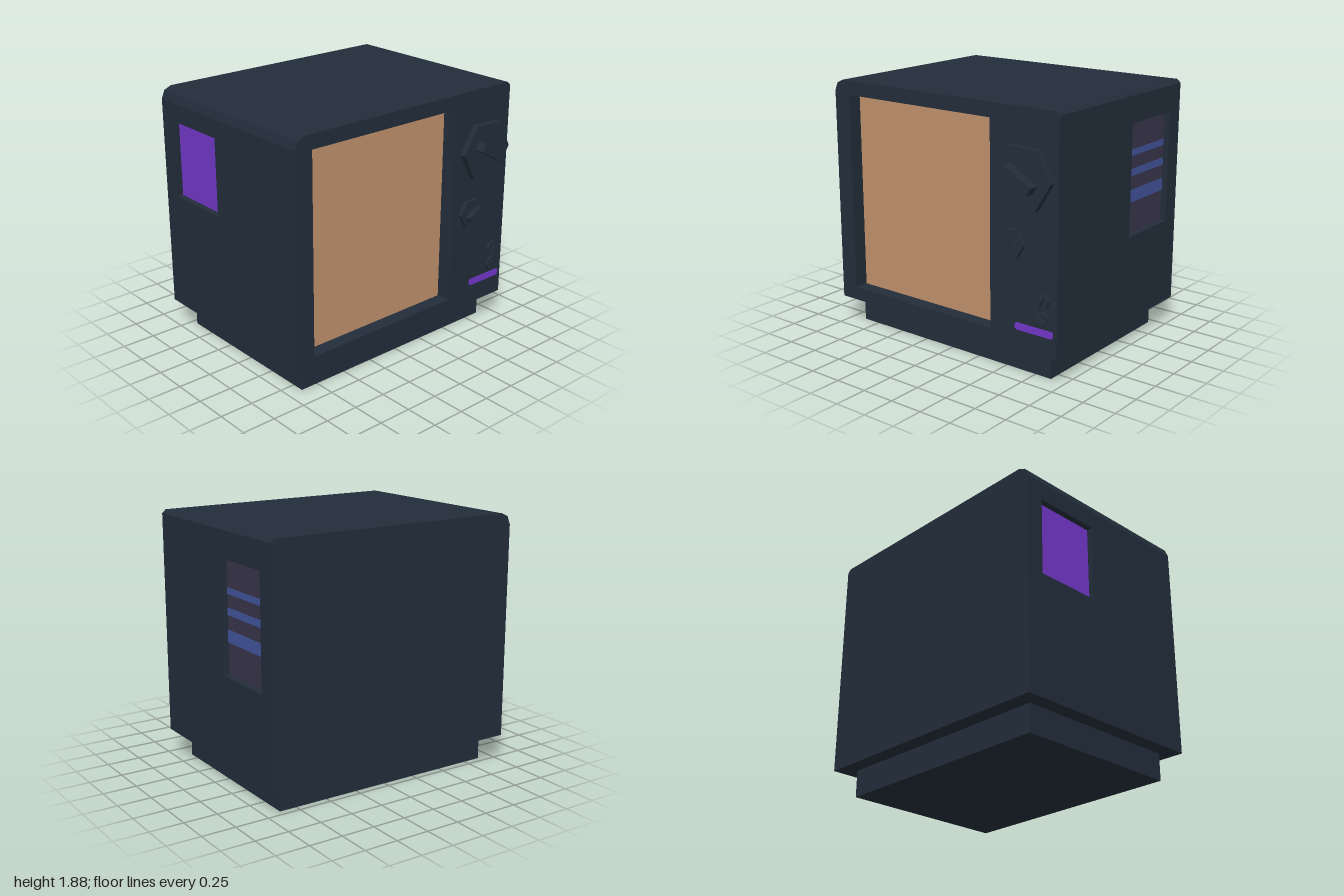
import * as THREE from 'three';

export function createModel() {
  const root = new THREE.Group();
  const mat = (name, color) => {
    const m = new THREE.MeshStandardMaterial({ color });
    m.name = name;
    return m;
  };
  const casing = mat('dark slate', 0x222d3a);
  const glass = mat('warm tan', 0xc0916c);
  const purple = mat('purple', 0x7236c8);
  const plum = mat('dusky plum', 0x37344b);
  const blue = mat('stripe blue', 0x40539a);

  const add = (name, geo, material, parent = root) => {
    const m = new THREE.Mesh(geo, material);
    m.name = name;
    parent.add(m);
    return m;
  };
  const poly = (pts) => new THREE.Shape(pts.map((p) => new THREE.Vector2(...p)));
  const rect = (x0, x1, y0, y1) => [[x0, y0], [x1, y0], [x1, y1], [x0, y1]];
  const extrude = (shape, z0, z1) =>
    new THREE.ExtrudeGeometry(shape, { depth: z1 - z0, bevelEnabled: false, curveSegments: 6 }).translate(0, 0, z0);
  const box = (x0, x1, y0, y1, z0, z1) =>
    new THREE.BoxGeometry(x1 - x0, y1 - y0, z1 - z0).translate((x0 + x1) / 2, (y0 + y1) / 2, (z0 + z1) / 2);

  const BACK = -0.82, INNER = 0.59, FRONT = 0.7, WALL = 0.95;

  // Plinth
  add('base', box(-0.885, 0.88, 0, 0.2, -0.7, 0.59), casing);

  // Cabinet core, narrower below the chamfered top so the side walls can hold recesses
  const crown = [[1, 1.8], [1, 1.86], [0.97, 1.885], [-0.92, 1.885], [-0.975, 1.86], [-1, 1.8]];
  add('cabinetCore', extrude(poly([[-WALL, 0.2], [WALL, 0.2], [WALL, 1.8], ...crown, [-WALL, 1.8]]), BACK, INNER), casing);

  // Front frame with the screen opening
  const frame = poly([[-1, 0.2], [1, 0.2], ...crown]);
  frame.holes.push(poly(rect(-0.86, 0.44, 0.3, 1.78)));
  add('frontFrame', extrude(frame, INNER, FRONT), casing);

  // Sloping lips along the top and right of the opening
  const topLip = extrude(poly([[-INNER, 1.755], [-INNER, 1.78], [-FRONT, 1.78]]), -0.86, 0.44).rotateY(Math.PI / 2);
  add('screenTopLip', topLip, casing);
  const sideLip = extrude(poly([[0.432, -INNER], [0.44, -INNER], [0.44, -FRONT]]), 0.3, 1.78).rotateX(-Math.PI / 2);
  add('screenSideLip', sideLip, casing);
  add('screen', box(-0.86, 0.435, 0.3, 1.76, INNER, INNER + 0.004), glass);

  // Side walls, each with a rectangular recess
  const sideWall = (name, x0, y0, y1) => {
    const s = poly(rect(-INNER, -BACK, 0.2, 1.8));
    s.holes.push(poly(rect(0.175, 0.685, y0, y1)));
    add(name, extrude(s, x0, x0 + 1 - WALL).rotateY(Math.PI / 2), casing);
  };
  sideWall('leftWall', WALL, 0.845, 1.665);
  sideWall('rightWall', -1, 1.09, 1.665);
  add('stripedPanel', box(WALL, WALL + 0.004, 0.845, 1.665, -0.685, -0.175), plum);
  for (const [y0, y1] of [[1.415, 1.46], [1.268, 1.32], [1.075, 1.165]])
    add('panelStripe', box(WALL, WALL + 0.008, y0, y1, -0.685, -0.175), blue);
  add('purplePanel', box(-WALL - 0.004, -WALL, 1.09, 1.665, -0.685, -0.175), purple);

  // Faceted dials with a raised grip bar
  const dial = (name, x, y, r, sides, spin, thick, length, width, rise, angle) => {
    const g = new THREE.Group();
    g.name = name;
    g.position.set(x, y, FRONT);
    const pts = Array.from({ length: sides }, (_, i) => {
      const a = spin + (i / sides) * Math.PI * 2;
      return [r * Math.cos(a), r * Math.sin(a)];
    });
    add('dialPlate', extrude(poly(pts), 0, thick), casing, g);
    const grip = add('dialGrip', box(-length / 2, length / 2, -width / 2, width / 2, thick, thick + rise), casing, g);
    grip.rotation.z = angle;
    root.add(g);
  };
  dial('channelDial', 0.735, 1.425, 0.233, 6, -0.03, 0.047, 0.25, 0.068, 0.07, -0.52);
  dial('tuningDial', 0.625, 0.96, 0.114, 6, 0, 0.027, 0.135, 0.034, 0.037, 0.52);
  dial('upperKnob', 0.885, 0.603, 0.056, 7, 0.2, 0.022, 0.075, 0.02, 0.02, 1.2);
  dial('lowerKnob', 0.885, 0.475, 0.056, 7, 0.5, 0.022, 0.07, 0.02, 0.02, -0.65);

  // Rounded purple strip below the knobs
  const c = 0.012;
  const strip = poly([
    [0.655 + c, 0.35], [0.97 - c, 0.35], [0.97, 0.35 + c], [0.97, 0.4 - c],
    [0.97 - c, 0.4], [0.655 + c, 0.4], [0.655, 0.4 - c], [0.655, 0.35 + c],
  ]);
  add('indicatorStrip', extrude(strip, FRONT, FRONT + 0.007), purple);

  return root;
}
